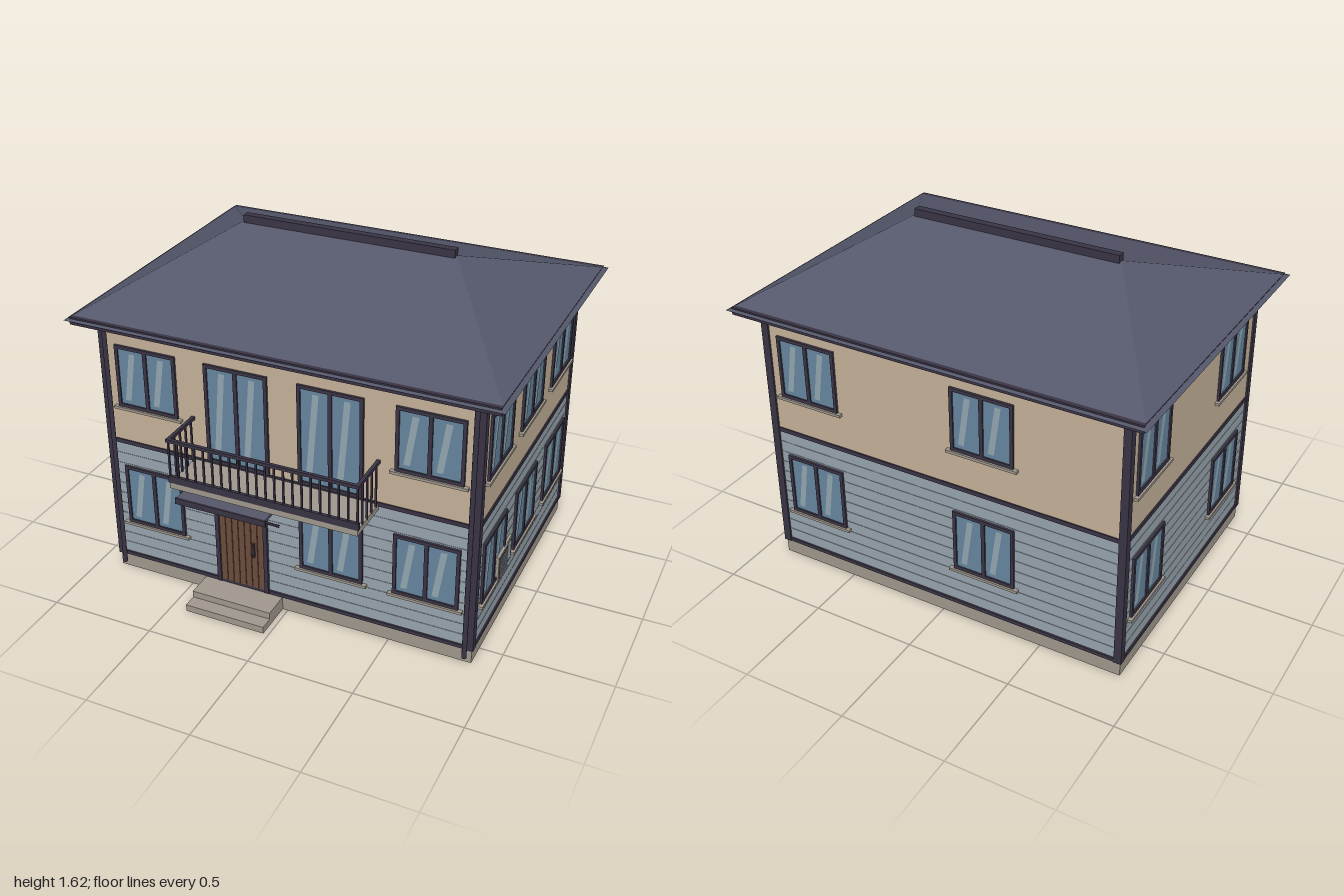
import * as THREE from 'three';

const mat = (name, color) => {
  const m = new THREE.MeshStandardMaterial({ color });
  m.name = name;
  return m;
};

export function createModel() {
  const M = {
    roof: mat('slateRoof', 0x55586b),
    trim: mat('darkTrim', 0x3a3444),
    beige: mat('beigePlaster', 0xc4b199),
    siding: mat('blueGreySiding', 0x98a4ad),
    stone: mat('greyStone', 0xa0988d),
    glass: mat('blueGlass', 0x66869f),
    glint: mat('glassGlint', 0x93a6b0),
    door: mat('brownDoor', 0x6c4c3d),
  };
  const model = new THREE.Group();
  model.name = 'house';
  const house = new THREE.Group();
  house.name = 'building';
  house.position.z = -0.055;
  model.add(house);

  const HX = 0.89, HZ = 0.665, WALL = 0.05;

  const add = (parent, name, geo, material, x = 0, y = 0, z = 0) => {
    const m = new THREE.Mesh(geo, material);
    m.name = name;
    m.position.set(x, y, z);
    parent.add(m);
    return m;
  };
  // Box given by its extents on each axis
  const box = (parent, name, material, x0, x1, y0, y1, z0, z1) =>
    add(parent, name, new THREE.BoxGeometry(x1 - x0, y1 - y0, z1 - z0), material,
      (x0 + x1) / 2, (y0 + y1) / 2, (z0 + z1) / 2);
  const rectPath = (path, x0, x1, y0, y1) => {
    path.moveTo(x0, y0);
    path.lineTo(x1, y0);
    path.lineTo(x1, y1);
    path.lineTo(x0, y1);
    path.closePath();
    return path;
  };
  // Hollow rectangular course running round the building
  const ring = (name, material, hx, hz, t, y0, y1) => {
    const s = rectPath(new THREE.Shape(), -hx, hx, -hz, hz);
    s.holes.push(rectPath(new THREE.Path(), -hx + t, hx - t, -hz + t, hz - t));
    const g = new THREE.ExtrudeGeometry(s, { depth: y1 - y0, bevelEnabled: false });
    g.rotateX(-Math.PI / 2);
    return add(house, name, g, material, 0, y0, 0);
  };

  // Foundation, walls and bands
  ring('foundation', M.stone, HX, HZ, 0.08, 0, 0.072);
  ring('lowerWall', M.siding, HX - 0.002, HZ - 0.002, WALL, 0.072, 0.7);
  const courses = 11, c0 = 0.09, ch = (0.697 - c0) / courses;
  for (let i = 0; i < courses; i++) {
    ring('sidingBoard', M.siding, HX, HZ, 0.01, c0 + i * ch, c0 + (i + 1) * ch - 0.003);
  }
  ring('upperWall', M.beige, HX, HZ, WALL, 0.7, 1.31);
  ring('baseBand', M.trim, HX + 0.006, HZ + 0.006, WALL + 0.008, 0.07, 0.088);
  ring('middleBand', M.trim, HX + 0.006, HZ + 0.006, WALL + 0.008, 0.695, 0.715);

  // Corner boards and downpipes
  for (const sx of [-1, 1]) for (const sz of [-1, 1]) {
    const b = box(house, 'cornerBoard', M.trim, -0.018, 0.018, 0.07, 1.305, -0.018, 0.018);
    b.position.x = sx * (HX - 0.01);
    b.position.z = sz * (HZ - 0.009);
  }
  for (const x of [-0.851, 0.866]) {
    add(house, 'downpipe', new THREE.CylinderGeometry(0.011, 0.011, 1.26, 10), M.trim, x, 0.675, 0.695);
  }

  // Hipped roof
  const E = { x: 1, z: 0.772, y: 1.322 }, R = { x: 0.51, y: 1.592 };
  const a = [-E.x, E.y, E.z], b = [E.x, E.y, E.z], c = [E.x, E.y, -E.z], d = [-E.x, E.y, -E.z];
  const l = [-R.x, R.y, 0], r = [R.x, R.y, 0];
  const tris = [a, b, r, a, r, l, c, d, l, c, l, r, b, c, r, d, a, l, a, d, c, a, c, b];
  const roofGeo = new THREE.BufferGeometry();
  roofGeo.setAttribute('position', new THREE.Float32BufferAttribute(tris.flat(), 3));
  roofGeo.computeVertexNormals();
  add(house, 'roof', roofGeo, M.roof);
  box(house, 'soffit', M.trim, -0.97, 0.97, 1.302, 1.319, -0.745, 0.745);
  ring('fascia', M.trim, 0.98, 0.756, 0.025, 1.3, 1.335);
  box(house, 'ridgeCap', M.trim, -0.51, 0.51, 1.583, 1.622, -0.019, 0.019);

  // One group per facade: local x runs to the right, local z points outwards
  const facade = (name, angle, dist) => {
    const g = new THREE.Group();
    g.name = name;
    g.rotation.y = angle;
    g.position.set(Math.sin(angle) * dist, 0, Math.cos(angle) * dist);
    house.add(g);
    return g;
  };
  const front = facade('frontFacade', 0, HZ);
  const right = facade('leftFacade', Math.PI / 2, HX);
  const back = facade('backFacade', Math.PI, HZ);
  const left = facade('rightFacade', -Math.PI / 2, HX);

  // Two-pane window, with a sill unless it is a balcony door
  const addWindow = (face, u, y0, y1, sill = true) => {
    const g = new THREE.Group();
    g.name = sill ? 'window' : 'balconyDoor';
    g.position.x = u;
    face.add(g);
    const w = 0.152, f = 0.016, m = 0.009;
    const s = rectPath(new THREE.Shape(), -w, w, y0, y1);
    for (const [p, q] of [[-w + f, -m], [m, w - f]]) {
      s.holes.push(rectPath(new THREE.Path(), p, q, y0 + f, y1 - f));
      const cx = (p + q) / 2, lo = y0 + 0.036, hi = y1 - 0.034;
      const k = new THREE.Shape([[-0.043, lo], [-0.014, lo], [0.021, hi], [-0.008, hi]]
        .map(([x, y]) => new THREE.Vector2(cx + x, y)));
      add(g, 'glint', new THREE.ShapeGeometry(k), M.glint, 0, 0, 0.0055);
    }
    add(g, 'windowFrame', new THREE.ExtrudeGeometry(s, { depth: 0.068, bevelEnabled: false }), M.trim, 0, 0, -0.057);
    box(g, 'glass', M.glass, -w + 0.01, w - 0.01, y0 + 0.01, y1 - 0.01, -0.054, 0.004);
    if (sill) box(g, 'sill', M.stone, -0.172, 0.172, y0 - 0.013, y0, -0.01, 0.02);
  };
  const layout = [
    [front, [-0.668, 0.222, 0.668], [-0.668, 0.668]],
    [right, [-0.44, 0, 0.445], [-0.44, 0, 0.445]],
    [back, [-0.668, 0.222], [-0.668, 0.222]],
    [left, [-0.44, 0.4], [-0.44, 0.4]],
  ];
  for (const [face, low, high] of layout) {
    low.forEach((u) => addWindow(face, u, 0.27, 0.577));
    high.forEach((u) => addWindow(face, u, 0.893, 1.198));
  }
  for (const u of [-0.222, 0.222]) addWindow(front, u, 0.715, 1.198, false);

  // Planked entrance door
  const DX = -0.222;
  box(front, 'doorFrame', M.trim, DX - 0.132, DX - 0.112, 0.075, 0.578, -0.057, 0.014);
  box(front, 'doorFrame', M.trim, DX + 0.112, DX + 0.132, 0.075, 0.578, -0.057, 0.014);
  box(front, 'doorLintel', M.trim, DX - 0.112, DX + 0.112, 0.555, 0.578, -0.057, 0.014);
  box(front, 'doorBacking', M.trim, DX - 0.112, DX + 0.112, 0.075, 0.555, -0.057, 0.003);
  const planks = 7, pw = 0.224 / planks;
  for (let i = 0; i < planks; i++) {
    const x = DX - 0.112 + i * pw;
    box(front, 'doorPlank', M.door, x + 0.0015, x + pw - 0.0015, 0.085, 0.553, 0.002, 0.008);
  }
  box(front, 'doorHandle', M.trim, -0.162, -0.154, 0.26, 0.335, 0.008, 0.02);

  // Entrance steps
  box(front, 'upperStep', M.stone, -0.422, -0.025, 0, 0.067, -0.01, 0.13);
  box(front, 'lowerStep', M.stone, -0.422, -0.025, 0, 0.034, 0.13, 0.195);

  // Canopy with diagonal brackets
  box(front, 'canopy', M.roof, -0.44, -0.005, 0.592, 0.606, 0, 0.18);
  box(front, 'canopyEdge', M.trim, -0.444, -0.001, 0.577, 0.607, 0.18, 0.19);
  for (const x of [-0.412, -0.037]) {
    const dz = 0.165, dy = 0.13;
    const s = add(front, 'canopyBracket', new THREE.BoxGeometry(0.012, 0.012, Math.hypot(dz, dy)), M.trim, x, 0.522, 0.085);
    s.rotation.x = -Math.atan2(dy, dz);
  }

  // Balcony and railing
  box(front, 'balconySlab', M.stone, -0.444, 0.444, 0.677, 0.706, 0, 0.22);
  box(front, 'bottomRail', M.trim, -0.448, 0.448, 0.706, 0.74, 0.207, 0.222);
  box(front, 'topRail', M.trim, -0.45, 0.45, 0.907, 0.922, 0.207, 0.223);
  const bar = (x, z) => box(front, 'baluster', M.trim, x - 0.004, x + 0.004, 0.7, 0.91, z - 0.004, z + 0.004);
  for (let i = 0; i <= 21; i++) bar(-0.441 + i * 0.042, 0.215);
  for (const sx of [-1, 1]) {
    const x = sx * 0.441;
    box(front, 'sideRail', M.trim, x - 0.008, x + 0.008, 0.907, 0.922, 0, 0.207);
    for (let i = 0; i < 4; i++) bar(x, 0.025 + i * 0.047);
  }

  // Air conditioner with a slatted grille
  const ac = new THREE.Group();
  ac.name = 'airConditioner';
  right.add(ac);
  box(ac, 'casing', M.stone, -0.402, -0.272, 0.262, 0.388, 0, 0.018);
  box(ac, 'grilleBack', M.trim, -0.39, -0.282, 0.273, 0.377, 0.018, 0.02);
  for (let i = 0; i < 7; i++) {
    const y = 0.277 + i * 0.0145;
    box(ac, 'grilleSlat', M.siding, -0.387, -0.285, y, y + 0.007, 0.02, 0.023);
  }
  box(ac, 'sideCasing', M.stone, -0.272, -0.202, 0.262, 0.388, 0, 0.012);
  box(ac, 'sidePanel', M.siding, -0.261, -0.213, 0.273, 0.377, 0.012, 0.014);

  return model;
}
